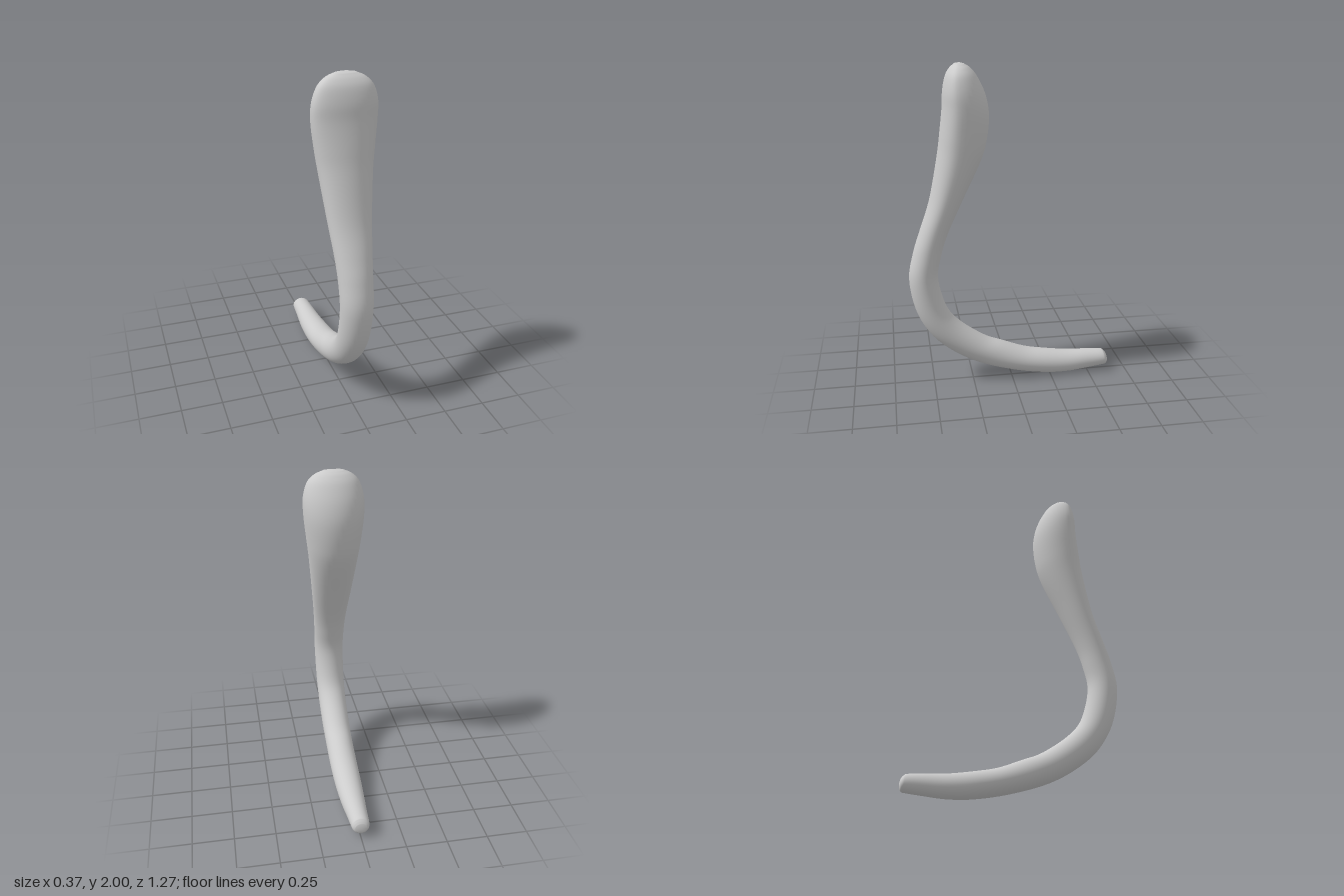
import * as THREE from 'three';

// Cross-sections from the head to the tip:
// [outer z, outer y, inner z, inner y, half width]
const SECTIONS = [
  [0.33, 1.993, 0.275, 1.993, 0.06],
  [0.36, 1.965, 0.24, 1.97, 0.115],
  [0.385, 1.92, 0.2, 1.92, 0.158],
  [0.402, 1.84, 0.155, 1.82, 0.184],
  [0.408, 1.74, 0.135, 1.7, 0.185],
  [0.425, 1.6, 0.15, 1.55, 0.17],
  [0.445, 1.46, 0.19, 1.42, 0.154],
  [0.497, 1.2, 0.3, 1.19, 0.129],
  [0.56, 1.01, 0.39, 0.99, 0.11],
  [0.605, 0.87, 0.435, 0.85, 0.101],
  [0.635, 0.7, 0.458, 0.7, 0.097],
  [0.597, 0.49, 0.41, 0.51, 0.094],
  [0.505, 0.325, 0.325, 0.4, 0.092],
  [0.37, 0.205, 0.17, 0.29, 0.09],
  [0.2, 0.112, 0.05, 0.242, 0.088],
  [-0.02, 0.045, -0.09, 0.19, 0.087],
  [-0.22, 0.01, -0.21, 0.167, 0.083],
  [-0.37, 0.005, -0.36, 0.147, 0.074],
  [-0.5, 0.018, -0.49, 0.142, 0.063],
  [-0.595, 0.03, -0.59, 0.136, 0.056],
  [-0.622, 0.036, -0.612, 0.126, 0.05],
  [-0.632, 0.05, -0.627, 0.108, 0.036],
];

const RADIAL = 40;
const RINGS = 110;

// Smooth skin swept through the sections, closed at both ends
function sweptGeometry() {
  const spline = (points) => new THREE.CatmullRomCurve3(points, false, 'catmullrom', 0.5);
  const outer = spline(SECTIONS.map(([z, y, , , w]) => new THREE.Vector3(w, y, z)));
  const inner = spline(SECTIONS.map(([, , z, y, w]) => new THREE.Vector3(w, y, z)));
  const positions = [];
  const indices = [];

  for (let i = 0; i <= RINGS; i++) {
    const t = i / RINGS;
    const o = outer.getPoint(t);
    const n = inner.getPoint(t);
    // The head is flatter on its front, the stem is round
    const flat = 1 - THREE.MathUtils.smoothstep(t, 0.12, 0.45);
    const mid = n.clone().lerp(o, 0.5 + 0.14 * flat);
    for (let j = 0; j < RADIAL; j++) {
      const a = (j / RADIAL) * Math.PI * 2;
      const s = Math.sin(a);
      const k = s > 0 ? Math.pow(s, 1 - 0.2 * flat) : -s;
      const p = mid.clone().lerp(s > 0 ? o : n, k);
      positions.push(o.x * Math.cos(a), p.y, p.z);
    }
  }

  for (let i = 0; i < RINGS; i++) {
    for (let j = 0; j < RADIAL; j++) {
      const a = i * RADIAL + j;
      const b = i * RADIAL + ((j + 1) % RADIAL);
      indices.push(a, b, a + RADIAL, b, b + RADIAL, a + RADIAL);
    }
  }

  // End caps
  const top = positions.length / 3;
  positions.push(0, 2, 0.302, 0, 0.079, -0.635);
  const last = RINGS * RADIAL;
  for (let j = 0; j < RADIAL; j++) {
    const k = (j + 1) % RADIAL;
    indices.push(top, k, j, top + 1, last + j, last + k);
  }

  const geometry = new THREE.BufferGeometry();
  geometry.setAttribute('position', new THREE.Float32BufferAttribute(positions, 3));
  geometry.setIndex(indices);
  geometry.computeVertexNormals();
  return geometry;
}

export function createModel() {
  const group = new THREE.Group();
  group.name = 'curvedHook';
  const body = new THREE.Mesh(
    sweptGeometry(),
    new THREE.MeshStandardMaterial({ color: 0xcccccc })
  );
  body.name = 'hookBody';
  group.add(body);
  return group;
}
